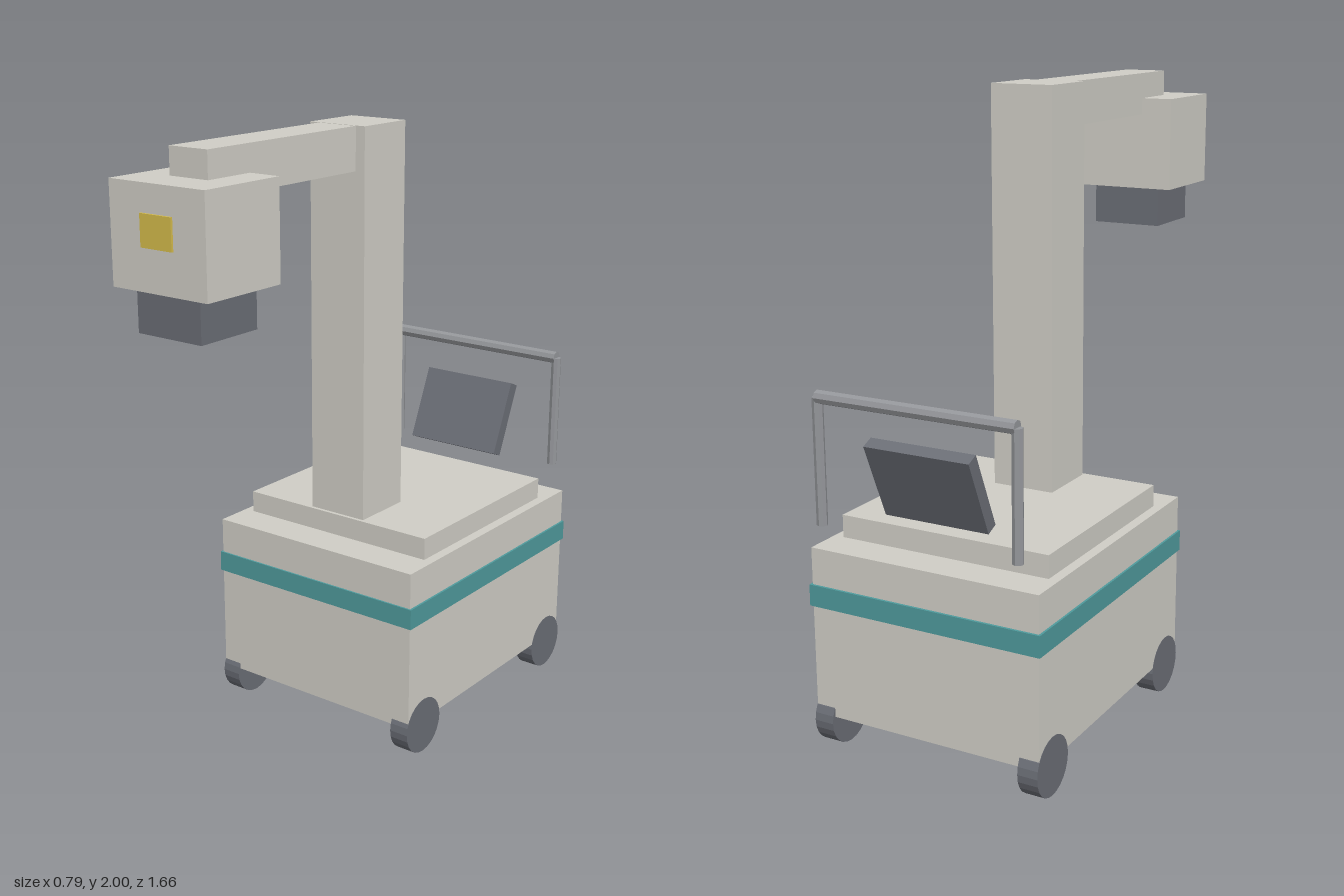
import * as THREE from 'three';

const mat = (color) => new THREE.MeshStandardMaterial({ color, flatShading: true });

export function createModel() {
  const model = new THREE.Group();
  model.name = 'mobileScannerCart';
  const cream = mat(0xd0cec6), teal = mat(0x4f9a9c), dark = mat(0x6b6e76);
  const steel = mat(0x95979b), yellow = mat(0xd6bd4c);

  const add = (name, geometry, material, x, y, z) => {
    const mesh = new THREE.Mesh(geometry, material);
    mesh.name = name;
    mesh.position.set(x, y, z);
    model.add(mesh);
    return mesh;
  };
  // Box centred on x, given its half width and its y and z ranges
  const block = (name, material, halfX, y0, y1, z0, z1) =>
    add(name, new THREE.BoxGeometry(halfX * 2, y1 - y0, z1 - z0), material,
      0, (y0 + y1) / 2, (z0 + z1) / 2);

  // Cart body
  block('body', cream, 0.39, 0.113, 0.656, -0.79, 0.16);
  block('trimBand', teal, 0.397, 0.47, 0.538, -0.798, 0.166);
  block('topPlate', cream, 0.357, 0.656, 0.728, -0.672, 0.037);

  // Column and boom
  block('column', cream, 0.105, 0.728, 2, -0.187, 0.025);
  block('boom', cream, 0.071, 1.862, 1.999, 0.02, 0.693);

  // Scanner head
  block('head', cream, 0.177, 1.612, 1.916, 0.518, 0.824);
  block('collimator', dark, 0.119, 1.48, 1.612, 0.555, 0.79);
  block('frontLabel', yellow, 0.058, 1.738, 1.833, 0.822, 0.831);

  // Tilted display panel
  add('displayPanel', new THREE.BoxGeometry(0.354, 0.26, 0.043), dark, 0, 0.896, -0.733)
    .rotation.x = -0.41;

  // Wheels and handle posts, mirrored
  const wheel = new THREE.CylinderGeometry(0.094, 0.094, 0.066, 24).rotateZ(Math.PI / 2);
  const post = new THREE.CylinderGeometry(0.017, 0.017, 0.392, 8);
  for (const [side, s] of [['left', 1], ['right', -1]]) {
    add(side + 'FrontWheel', wheel, dark, s * 0.358, 0.094, 0.075);
    add(side + 'RearWheel', wheel, dark, s * 0.358, 0.094, -0.71);
    add(side + 'HandlePost', post, steel, s * 0.333, 0.939, -0.805);
  }

  // Handle bar
  add('handleBar', new THREE.CylinderGeometry(0.021, 0.021, 0.667, 8).rotateZ(Math.PI / 2),
    steel, 0, 1.136, -0.805);

  return model;
}
